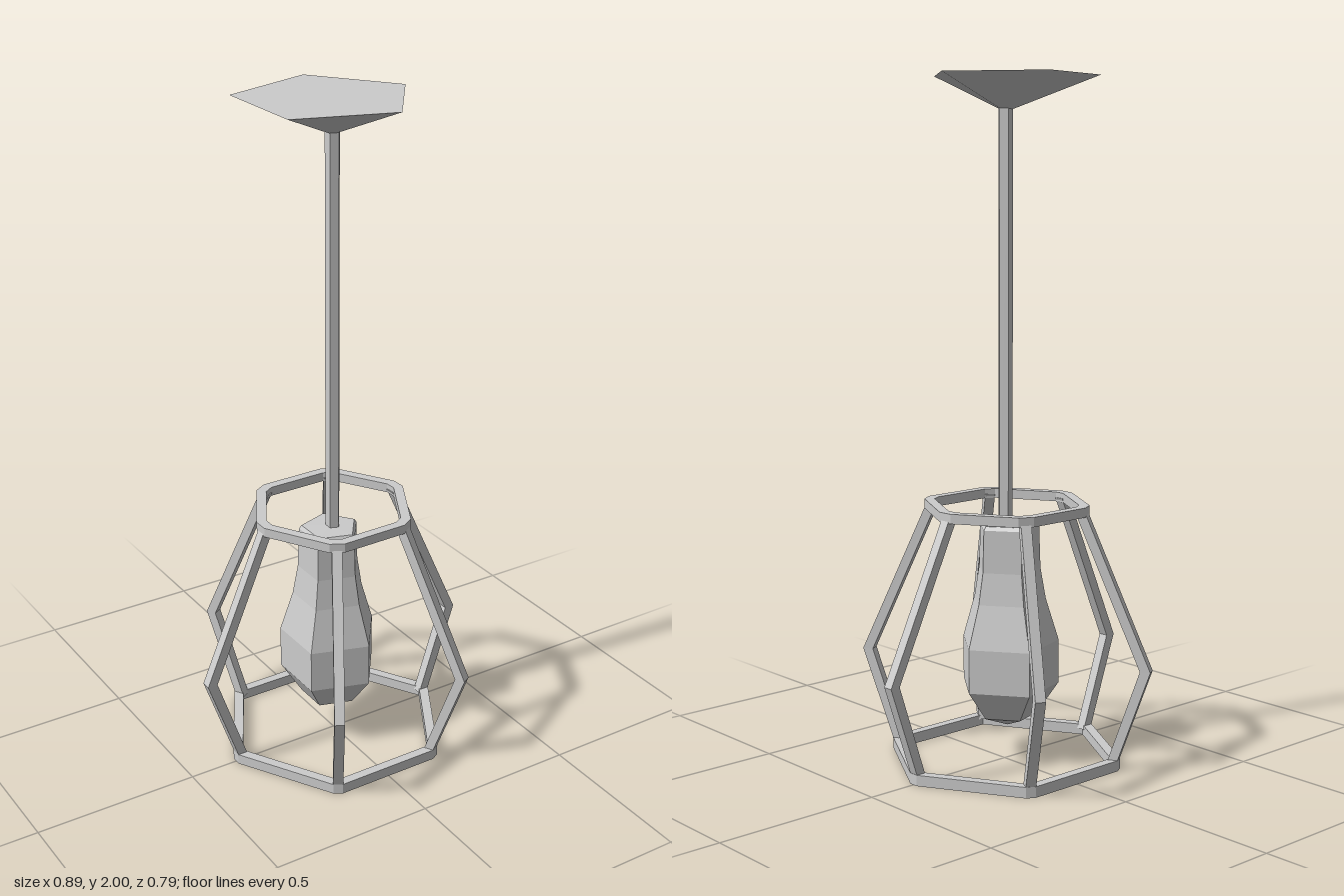
import * as THREE from 'three';

const material = new THREE.MeshStandardMaterial({ color: 0xcccccc, flatShading: true });
const rad = THREE.MathUtils.degToRad;

function addMesh(parent, geometry, name) {
  const mesh = new THREE.Mesh(geometry, material);
  mesh.name = name;
  parent.add(mesh);
  return mesh;
}

// Six-cornered outline, each corner at radius r cut off by a flat of half-width h
function chamferedHexagon(angles, r, h) {
  const points = [];
  for (const angle of angles) {
    const c = Math.cos(rad(angle)), s = Math.sin(rad(angle));
    if (h > 0) points.push(new THREE.Vector2(r * c + h * s, r * s - h * c), new THREE.Vector2(r * c - h * s, r * s + h * c));
    else points.push(new THREE.Vector2(r * c, r * s));
  }
  return points;
}

// Flat hexagonal band lying horizontally, with its upper face at y = top
function ringGeometry(angles, outer, outerCut, inner, innerCut, top, height) {
  const shape = new THREE.Shape(chamferedHexagon(angles, outer, outerCut));
  shape.holes.push(new THREE.Path(chamferedHexagon(angles, inner, innerCut)));
  return new THREE.ExtrudeGeometry(shape, { depth: height, bevelEnabled: false })
    .rotateX(Math.PI / 2).translate(0, top, 0);
}

// Bent square bar through stations of { angle, outer, inner, y, z shift }, top to bottom
function strutGeometry(stations, width) {
  const positions = [], indices = [];
  for (const { angle, outer, inner, y, z = 0 } of stations) {
    const c = Math.cos(rad(angle)), s = Math.sin(rad(angle)), w = width / 2;
    for (const [r, t] of [[outer, w], [outer, -w], [inner, -w], [inner, w]]) {
      positions.push(r * c - t * s, y, r * s + t * c + z);
    }
  }
  for (let i = 0; i < stations.length - 1; i++) {
    for (let k = 0; k < 4; k++) {
      const a = i * 4 + k, b = i * 4 + (k + 1) % 4;
      indices.push(a, a + 4, b, b, a + 4, b + 4);
    }
  }
  const e = (stations.length - 1) * 4;
  indices.push(0, 1, 2, 0, 2, 3, e, e + 2, e + 1, e, e + 3, e + 2);
  const geometry = new THREE.BufferGeometry();
  geometry.setAttribute('position', new THREE.Float32BufferAttribute(positions, 3));
  geometry.setIndex(indices);
  const flat = geometry.toNonIndexed();
  flat.computeVertexNormals();
  return flat;
}

export function createModel() {
  const model = new THREE.Group();
  model.name = 'pendantLamp';

  // Ceiling canopy: shallow upside-down pentagonal cone, apex over the rod
  const canopy = new THREE.CylinderGeometry(0.257, 0.004, 0.104, 5, 1, false, Math.PI / 2);
  const p = canopy.attributes.position;
  for (let i = 0; i < p.count; i++) p.setX(i, p.getX(i) - (p.getY(i) > 0 ? 0.025 : 0.004));
  addMesh(model, canopy, 'ceilingCanopy').position.y = 1.948;

  // Hanging rod
  addMesh(model, new THREE.CylinderGeometry(0.022, 0.022, 1.21, 5, 1, false, Math.PI / 2), 'hangingRod')
    .position.set(-0.002, 1.305, 0);

  // Bulb with socket neck, five-sided
  const profile = [
    [0, 0.1], [0.088, 0.135], [0.152, 0.225], [0.152, 0.355], [0.113, 0.482],
    [0.097, 0.575], [0.093, 0.7], [0.085, 0.711], [0, 0.713],
  ].map(([r, y]) => new THREE.Vector2(r, y));
  addMesh(model, new THREE.LatheGeometry(profile, 5, Math.PI / 2), 'bulb').position.x = -0.012;

  // Cage: two rings joined by six bent struts, slightly uneven at the top
  const cage = new THREE.Group();
  cage.name = 'cage';
  model.add(cage);
  const topShift = -0.007;
  const topAngles = [-3, 59, 119, 180, 240, 299];
  const midAngles = [-0.7, 60, 120, 180, 240, 299.4];
  const bottomAngles = [0, 60, 120, 180, 240, 300];
  addMesh(cage, ringGeometry(topAngles, 0.245, 0.022, 0.215, 0.016, 0.776, 0.028), 'topRing').position.z = topShift;
  addMesh(cage, ringGeometry(bottomAngles, 0.35, 0.014, 0.325, 0, 0.032, 0.032), 'bottomRing');
  for (let i = 0; i < 6; i++) {
    addMesh(cage, strutGeometry([
      { angle: topAngles[i], outer: 0.242, inner: 0.212, y: 0.76, z: topShift },
      { angle: midAngles[i], outer: 0.444, inner: 0.413, y: 0.303 },
      { angle: bottomAngles[i], outer: 0.345, inner: 0.316, y: 0.02 },
    ], 0.03), `strut${i + 1}`);
  }
  return model;
}
